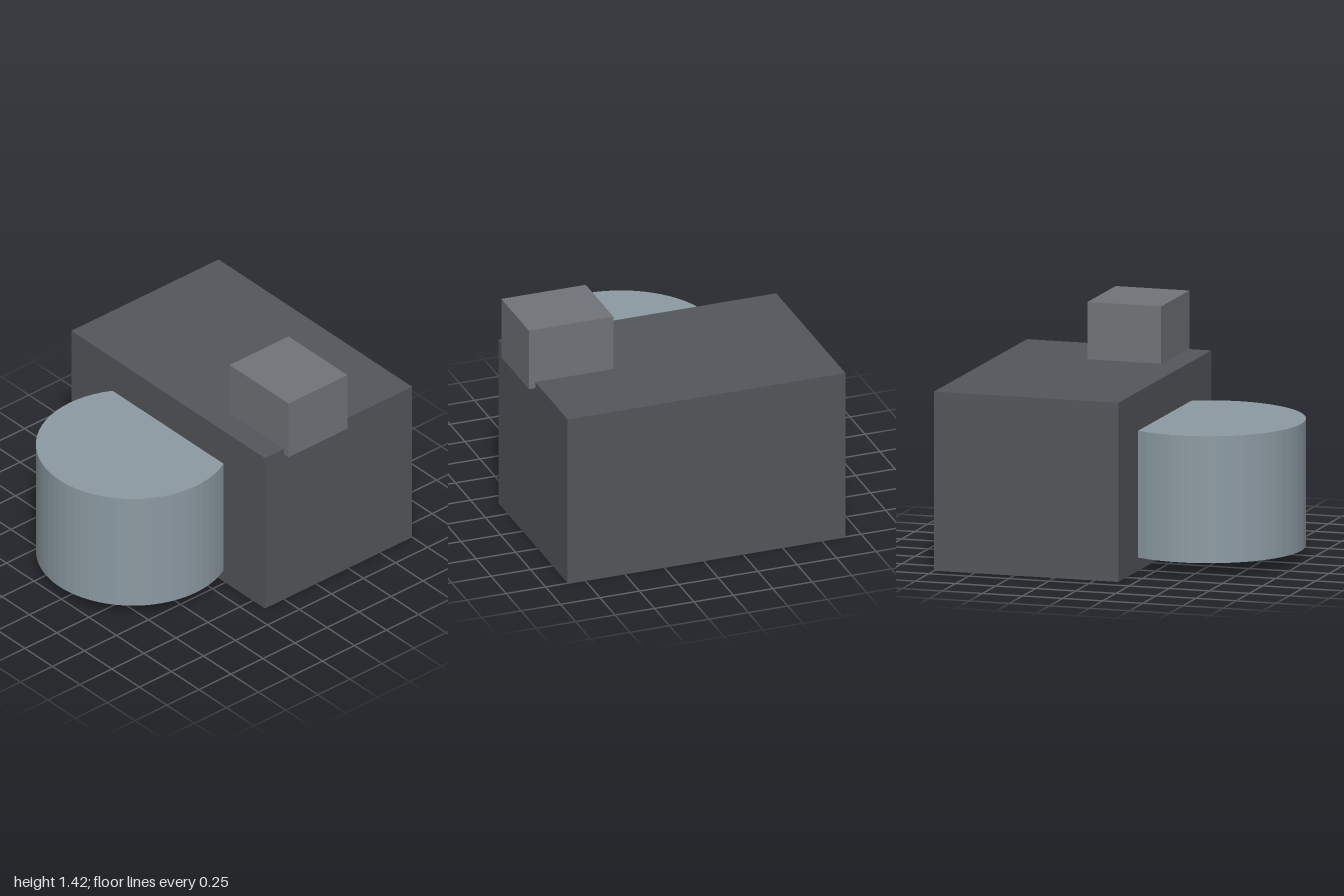
import * as THREE from 'three';

// Adds a named, coloured mesh to the group at the given centre
function addPart(group, name, geometry, color, [x, y, z], flatShading = false) {
  const mesh = new THREE.Mesh(geometry, new THREE.MeshStandardMaterial({ color, flatShading }));
  mesh.name = name;
  mesh.position.set(x, y, z);
  group.add(mesh);
}

export function createModel() {
  const group = new THREE.Group();
  group.name = 'blockAssembly';

  // Large main block resting on the ground
  addPart(group, 'mainBlock', new THREE.BoxGeometry(1.76, 1.08, 1.15), 0x53565a, [-0.02, 0.54, -0.425]);

  // Upright drum, partly sunk into the front of the block
  addPart(group, 'frontDrum', new THREE.CylinderGeometry(0.575, 0.575, 0.765, 64), 0x8c9aa2, [-0.02, 0.4625, 0.425], true);

  // Small block set slightly into the top and overhanging the left side
  addPart(group, 'topBlock', new THREE.BoxGeometry(0.535, 0.385, 0.46), 0x707378, [0.6325, 1.2325, -0.23]);

  return group;
}
